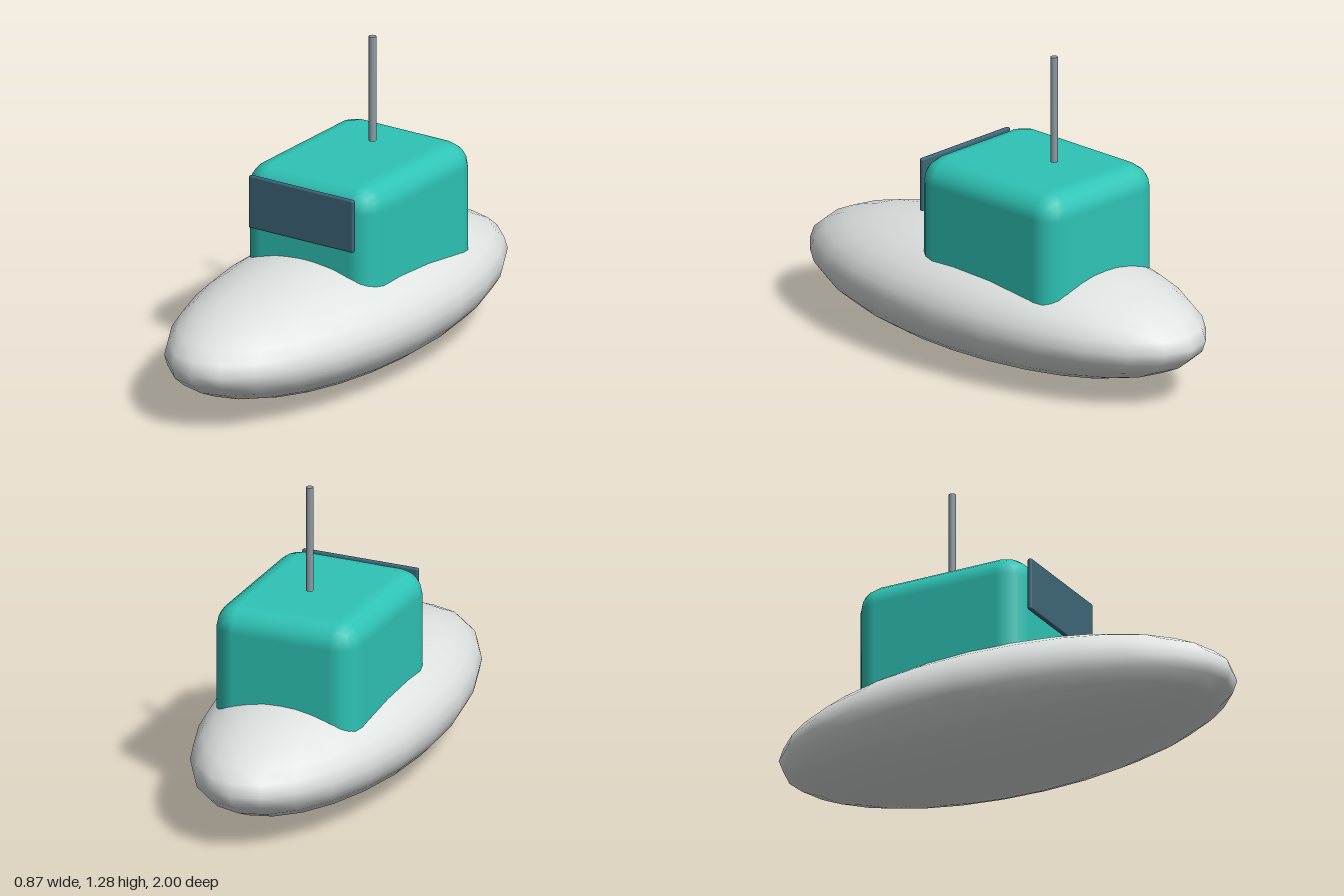
import * as THREE from 'three';
import { RoundedBoxGeometry } from 'three/addons/geometries/RoundedBoxGeometry.js';

export function createModel() {
  const model = new THREE.Group();

  const addPart = (name, geometry, color, x, y, z) => {
    const mesh = new THREE.Mesh(geometry, new THREE.MeshStandardMaterial({ color }));
    mesh.name = name;
    mesh.position.set(x, y, z);
    model.add(mesh);
    return mesh;
  };

  // Hull: a sphere stretched into a long, flattened ellipsoid
  const hull = new THREE.SphereGeometry(1, 24, 16).scale(0.435, 0.249, 1);
  addPart('hull', hull, 0xdfe3e2, 0, 0.249, 0);

  // Cabin: rounded block sunk into the hull
  addPart('cabin', new RoundedBoxGeometry(0.62, 0.58, 0.745, 2, 0.1), 0x2ec4b6, 0, 0.54, -0.157);

  // Windshield: thin panel just ahead of the cabin
  addPart('windshield', new RoundedBoxGeometry(0.5, 0.22, 0.02, 2, 0.008), 0x3d6679, 0, 0.69, 0.234);

  // Mast: slim rod hovering just above the roof
  addPart('mast', new THREE.CylinderGeometry(0.015, 0.015, 0.438, 12), 0x8d9aa3, 0, 1.065, -0.25);

  return model;
}
